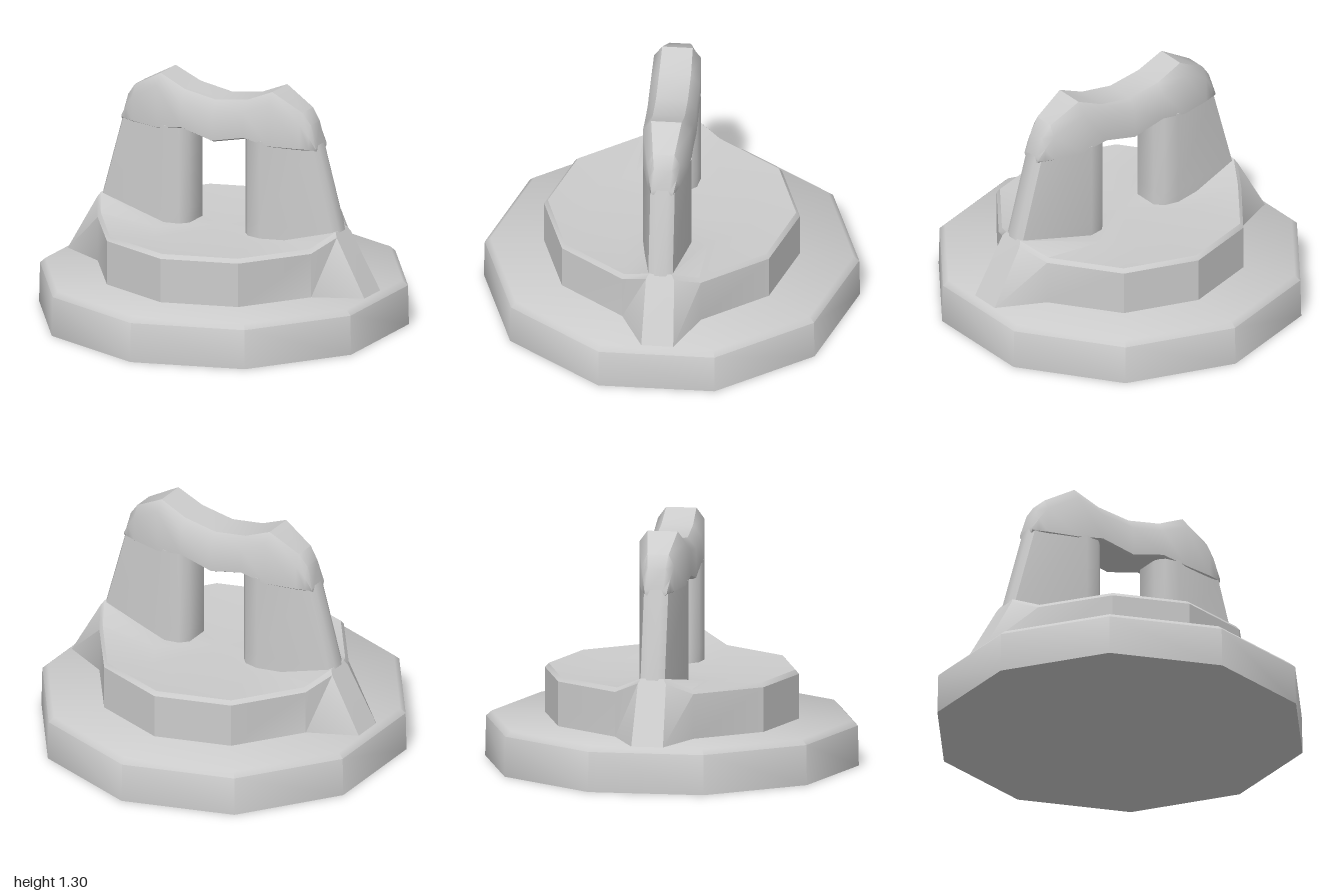
import * as THREE from 'three';
import { toCreasedNormals } from 'three/addons/utils/BufferGeometryUtils.js';

const material = new THREE.MeshStandardMaterial({ color: 0xcccccc });

function addMesh(group, name, geometry, crease = 0.8) {
  const mesh = new THREE.Mesh(toCreasedNormals(geometry, crease), material);
  mesh.name = name;
  group.add(mesh);
}

// Skin a list of rings (equal point counts, counter-clockwise about the loft axis) and cap both ends
function loft(rings) {
  const n = rings[0].length;
  const pos = [];
  const idx = [];
  const centre = (ring) => [0, 1, 2].map((k) => ring.reduce((s, p) => s + p[k], 0) / n);
  rings.forEach((ring) => ring.forEach((p) => pos.push(...p)));
  const last = rings.length - 1;
  const first = rings.length * n;
  pos.push(...centre(rings[0]), ...centre(rings[last]));
  for (let i = 0; i < n; i++) {
    const j = (i + 1) % n;
    for (let r = 0; r < last; r++) {
      const a = r * n, b = a + n;
      idx.push(a + i, a + j, b + j, a + i, b + j, b + i);
    }
    idx.push(first, j, i, first + 1, last * n + i, last * n + j);
  }
  const g = new THREE.BufferGeometry();
  g.setAttribute('position', new THREE.Float32BufferAttribute(pos, 3));
  g.setIndex(idx);
  return g;
}

// Complete a ring from one quadrant running from the +z axis towards +x
function mirrorQuadrant(q) {
  const back = q.map(([x, y, z]) => [x, y, -z]).reverse();
  const half = [...q, ...back];
  const other = half.slice(1, -1).reverse().map(([x, y, z]) => [-x, y, z]);
  return [...half, ...other];
}

export function createModel() {
  const model = new THREE.Group();
  model.name = 'handledWeight';

  // Ten-sided base plate with a bevelled rim
  const profile = [[0, 0], [1, 0], [0.995, 0.215], [0.965, 0.242], [0, 0.25]];
  addMesh(model, 'base', new THREE.LatheGeometry(profile.map(([x, y]) => new THREE.Vector2(x, y)), 10));

  // Upper tier: spreads into a foot at each side and dishes towards the middle
  const tier = [
    [[0, 0.24, 0.68], [0.4, 0.24, 0.55], [0.65, 0.24, 0.21], [0.905, 0.24, 0.085]],
    [[0, 0.485, 0.68], [0.4, 0.485, 0.55], [0.65, 0.485, 0.21], [0.73, 0.55, 0.075]],
    [[0, 0.507, 0.66], [0.39, 0.507, 0.535], [0.635, 0.507, 0.2], [0.715, 0.575, 0.06]],
    [[0, 0.492, 0.45], [0.2, 0.492, 0.39], [0.29, 0.492, 0.22], [0.3, 0.492, 0.05]],
  ];
  addMesh(model, 'upperTier', loft(tier.map(mirrorQuadrant)), 0.6);

  // Handle legs: lens-shaped section whose outer edge leans inwards
  const legRing = (y, xo) => {
    const front = [[0.17, 0.07], [0.21, 0.115], [0.29, 0.13], [xo - 0.02, 0.065], [xo, 0.03]];
    return [...front, ...front.map(([x, z]) => [x, -z]).reverse()].map(([x, z]) => [x, y, z]);
  };
  const leg = [legRing(0.45, 0.74), legRing(0.57, 0.72), legRing(1.03, 0.592)];
  addMesh(model, 'leftLeg', loft(leg));
  addMesh(model, 'rightLeg', loft(leg.map((ring) => ring.map(([x, y, z]) => [-x, y, z]).reverse())));

  // Grip: saddle-shaped bar across the legs; x, underside, top, half width
  const grip = [
    [0, 0.98, 1.205, 0.13], [0.19, 1.025, 1.235, 0.13], [0.34, 1.0, 1.3, 0.125],
    [0.51, 1.0, 1.205, 0.088], [0.557, 1.0, 1.14, 0.073], [0.592, 1.0, 1.03, 0.06],
  ];
  const stations = [...grip.slice(1).reverse().map(([x, ...rest]) => [-x, ...rest]), ...grip];
  addMesh(model, 'grip', loft(stations.map(([x, lo, hi, w]) => {
    const shoulder = Math.max(hi - 0.06, lo + 0.02);
    const side = [[hi, w * 0.65], [shoulder, w], [lo + 0.01, w], [lo, w * 0.85]];
    return [...side, ...side.map(([y, z]) => [y, -z]).reverse()].map(([y, z]) => [x, y, z]);
  })));

  return model;
}
